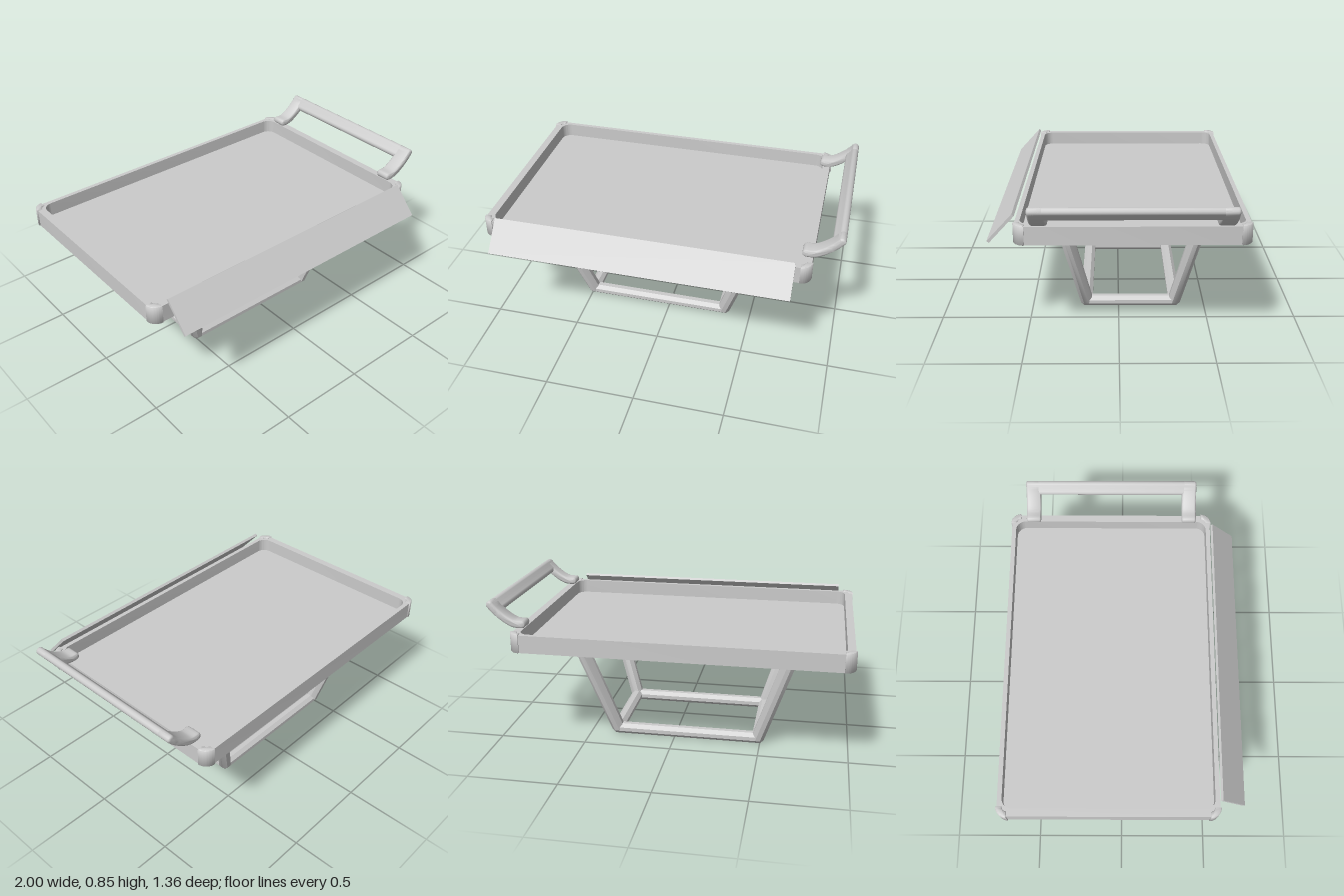
import * as THREE from 'three';
import { toCreasedNormals } from 'three/addons/utils/BufferGeometryUtils.js';
import { ConvexGeometry } from 'three/addons/geometries/ConvexGeometry.js';

const material = new THREE.MeshStandardMaterial({ color: 0xcccccc });
const CX = -0.074, CZ = -0.07; // shared centre of tray and stand

function addMesh(parent, name, geometry, crease = 0.6) {
  const mesh = new THREE.Mesh(toCreasedNormals(geometry, crease), material);
  mesh.name = name;
  parent.add(mesh);
  return mesh;
}

// Rounded rectangle, half sizes w and d, corner radius r
function roundedRect(w, d, r) {
  const s = new THREE.Shape();
  s.absarc(w - r, d - r, r, 0, Math.PI / 2);
  s.absarc(-w + r, d - r, r, Math.PI / 2, Math.PI);
  s.absarc(-w + r, -d + r, r, Math.PI, Math.PI * 1.5);
  s.absarc(w - r, -d + r, r, Math.PI * 1.5, Math.PI * 2);
  s.closePath();
  return s;
}

// Extrude a plan shape upwards from y0 to y1
function extrudeUp(shape, y0, y1, bevel = 0) {
  const g = new THREE.ExtrudeGeometry(shape, {
    depth: y1 - y0 - 2 * bevel, curveSegments: 8, bevelEnabled: bevel > 0,
    bevelSize: bevel, bevelThickness: bevel, bevelOffset: -bevel, bevelSegments: 3,
  });
  return g.rotateX(-Math.PI / 2).translate(0, y0 + bevel, 0);
}

function createTray() {
  const tray = new THREE.Group();
  tray.name = 'tray';
  tray.position.set(CX, 0, CZ);
  const W = 0.919, D = 0.603;

  const rim = roundedRect(W, D, 0.05);
  rim.holes.push(roundedRect(W - 0.043, D - 0.025, 0.055));
  addMesh(tray, 'trayWall', extrudeUp(rim, 0.593, 0.693));
  addMesh(tray, 'trayFloor', extrudeUp(roundedRect(W - 0.01, D - 0.01, 0.045), 0.593, 0.613));

  // Corner guards, slightly proud of the wall
  for (const sx of [-1, 1]) for (const sz of [-1, 1]) {
    const guard = new THREE.Shape();
    const a = Math.atan2(sz, sx) - Math.PI / 4;
    const start = Math.round(a / (Math.PI / 2)) * Math.PI / 2;
    guard.absarc(0, 0, 0.06, start, start + Math.PI / 2, false);
    guard.absarc(0, 0, 0.025, start + Math.PI / 2, start, true);
    guard.closePath();
    const mesh = addMesh(tray, 'cornerGuard', extrudeUp(guard, 0.592, 0.7, 0.006), 0.9);
    mesh.position.set(sx * (W + 0.007 - 0.06), 0, -sz * (D + 0.007 - 0.06));
  }
  return tray;
}

// Corner points of a box with chamfered edges
function chamferedBoxPoints(c, h, k) {
  const pts = [];
  for (const sx of [-1, 1]) for (const sy of [-1, 1]) for (const sz of [-1, 1])
    for (let axis = 0; axis < 3; axis++) {
      const o = h.map((v, i) => (i === axis ? v : v - k));
      pts.push(new THREE.Vector3(c[0] + sx * o[0], c[1] + sy * o[1], c[2] + sz * o[2]));
    }
  return pts;
}

function createStand() {
  const stand = new THREE.Group();
  stand.name = 'stand';
  stand.position.set(CX, 0, CZ);
  const signs = [[-1, -1], [1, -1], [1, 1], [-1, 1]];
  const top = signs.map(([x, z]) => chamferedBoxPoints([x * 0.582, 0.55, z * 0.37], [0.034, 0.04, 0.034], 0.022));
  const bottom = signs.map(([x, z]) => chamferedBoxPoints([x * 0.414, 0.031, z * 0.256], [0.034, 0.031, 0.034], 0.02));
  for (let i = 0; i < 4; i++) {
    const j = (i + 1) % 4;
    addMesh(stand, 'topRail', new ConvexGeometry([...top[i], ...top[j]]), 0.5);
    addMesh(stand, 'bottomRail', new ConvexGeometry([...bottom[i], ...bottom[j]]), 0.5);
    addMesh(stand, 'leg', new ConvexGeometry([...top[i], ...bottom[i]]), 0.5);
  }
  return stand;
}

function createHandle() {
  const handle = new THREE.Group();
  handle.name = 'handle';
  const curve = new THREE.SplineCurve([
    [0.803, 0.722], [0.85, 0.724], [0.9, 0.75], [0.95, 0.79], [0.984, 0.828],
  ].map(([x, y]) => new THREE.Vector2(x, y)));

  // Side profile following the curve from t0 to its tip, extruded across z
  const part = (name, t0, z0, z1) => {
    const half = 0.021, bevel = 0.012, upper = [], lower = [];
    for (let i = 0; i <= 12; i++) {
      const t = t0 + (1 - t0) * i / 12;
      const p = curve.getPoint(t), d = curve.getTangent(t);
      const n = new THREE.Vector2(-d.y, d.x).multiplyScalar(half);
      upper.push(p.clone().add(n));
      lower.push(p.clone().sub(n));
    }
    // Rounded caps at both ends
    const cap = (t, sign) => {
      const p = curve.getPoint(t), d = curve.getTangent(t), n = new THREE.Vector2(-d.y, d.x);
      return [1, 2, 3, 4, 5].map((i) => {
        const a = i * Math.PI / 6;
        return p.clone().addScaledVector(n, -sign * half * Math.cos(a)).addScaledVector(d, sign * half * 0.85 * Math.sin(a));
      });
    };
    const outline = [...lower, ...cap(1, 1), ...upper.reverse(), ...cap(t0, -1)];
    const g = new THREE.ExtrudeGeometry(new THREE.Shape(outline), {
      depth: z1 - z0 - 2 * bevel, bevelSize: bevel, bevelThickness: bevel,
      bevelOffset: -bevel, bevelSegments: 3,
    });
    addMesh(handle, name, g.translate(0, 0, z0 + bevel), 0.8);
  };
  part('handleArm', 0, -0.582, -0.495);
  part('handleArm', 0, 0.36, 0.447);
  part('handleGrip', 0.76, -0.582, 0.447);
  return handle;
}

export function createModel() {
  const model = new THREE.Group();
  model.name = 'servingTray';
  model.add(createTray(), createStand(), createHandle());

  // Tilted panel in front of the tray
  const panel = addMesh(model, 'frontPanel', new THREE.BoxGeometry(1.675, 0.2, 0.016));
  panel.position.set(-0.073, 0.652, 0.608);
  panel.rotation.x = -Math.atan2(0.135, 0.147);
  return model;
}
